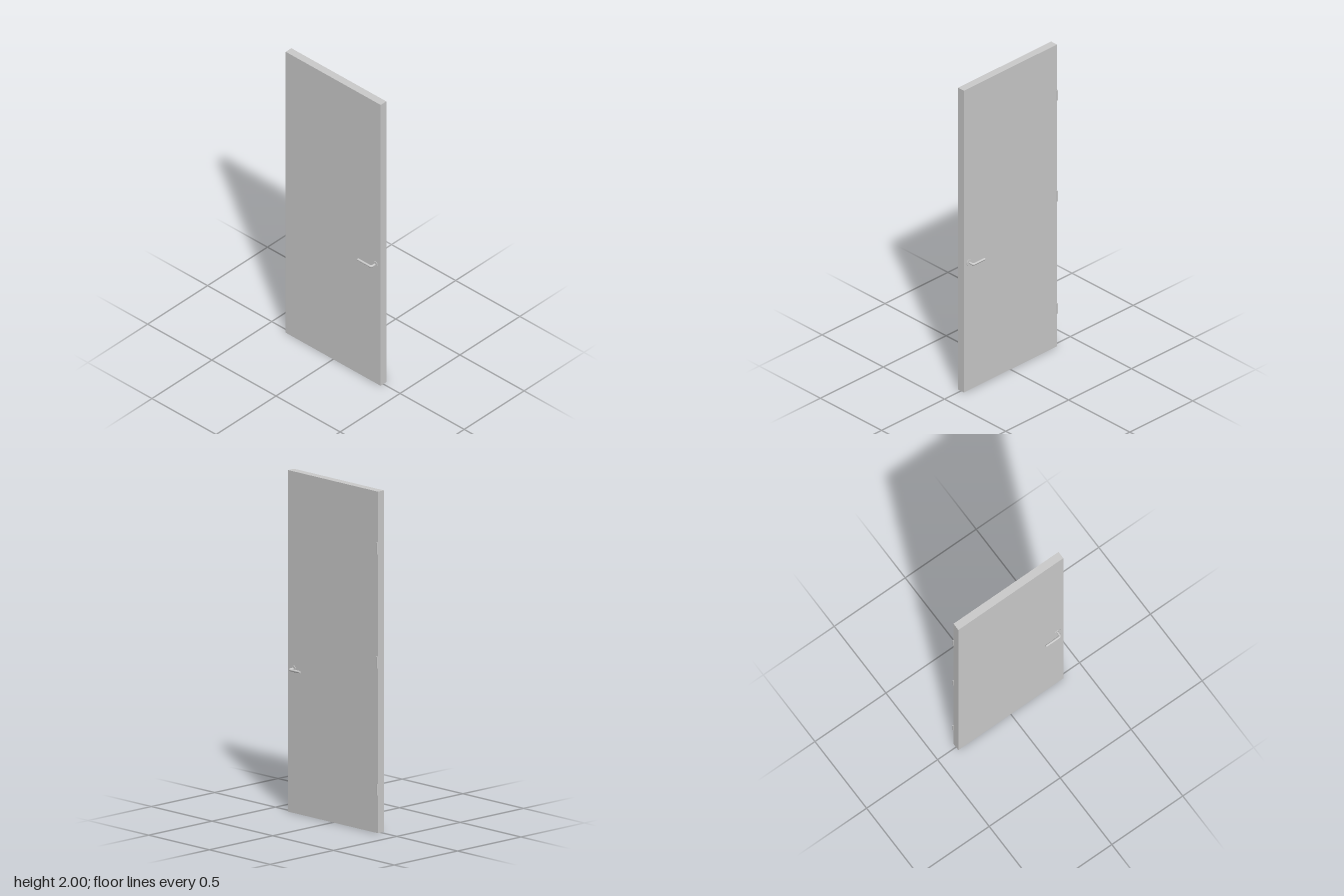
import * as THREE from 'three';

const material = new THREE.MeshStandardMaterial({ color: 0xcccccc });
const BACK = -0.0245, FRONT = 0.0225; // door faces in z
const HANDLE_Y = 0.844, HANDLE_X = 0.327, ROD = 0.007;

function part(name, geometry, x = 0, y = 0, z = 0) {
  const mesh = new THREE.Mesh(geometry, material);
  mesh.name = name;
  mesh.position.set(x, y, z);
  return mesh;
}

// Lever handle: round rose plus a bent rod; side is +1 (front) or -1 (back)
function leverHandle(name, side, face, reach, tipX) {
  const group = new THREE.Group();
  group.name = name;
  group.position.set(HANDLE_X, HANDLE_Y, face);

  const rose = part('rose', new THREE.CylinderGeometry(0.021, 0.021, 0.003, 32), 0, 0, side * 0.0015);
  rose.rotation.x = Math.PI / 2;
  group.add(rose);

  const z = side * reach, bend = 0.012, tip = tipX - HANDLE_X;
  const v = (x, zz) => new THREE.Vector3(x, 0, zz);
  const k = bend * 0.448; // bezier handles for a quarter circle
  const path = new THREE.CurvePath();
  path.add(new THREE.LineCurve3(v(0, 0), v(0, z - side * bend)));
  path.add(new THREE.CubicBezierCurve3(v(0, z - side * bend), v(0, z - side * k), v(-k, z), v(-bend, z)));
  path.add(new THREE.LineCurve3(v(-bend, z), v(tip, z)));
  group.add(part('lever', new THREE.TubeGeometry(path, 64, ROD, 20), 0, 0, 0));

  const cap = part('leverEnd', new THREE.CircleGeometry(ROD, 20), tip, 0, z);
  cap.rotation.y = -Math.PI / 2;
  group.add(cap);
  return group;
}

// Hinge: upright pin barrel with a narrow web to the door's back face
function hinge(y) {
  const group = new THREE.Group();
  group.name = 'hinge';
  group.position.set(-0.367, y, -0.0295);
  group.add(part('barrel', new THREE.CylinderGeometry(0.0042, 0.0042, 0.068, 20)));
  group.add(part('web', new THREE.BoxGeometry(0.002, 0.068, 0.006), -0.002, 0, 0.003));
  return group;
}

export function createModel() {
  const model = new THREE.Group();
  model.name = 'door';

  // Flat door leaf
  model.add(part('doorLeaf', new THREE.BoxGeometry(0.74, 2, FRONT - BACK), 0, 1, (FRONT + BACK) / 2));

  model.add(leverHandle('frontHandle', 1, FRONT, 0.033, 0.223));
  model.add(leverHandle('backHandle', -1, BACK, 0.033, 0.237));

  for (const y of [0.255, 1.0, 1.667]) model.add(hinge(y));
  return model;
}
